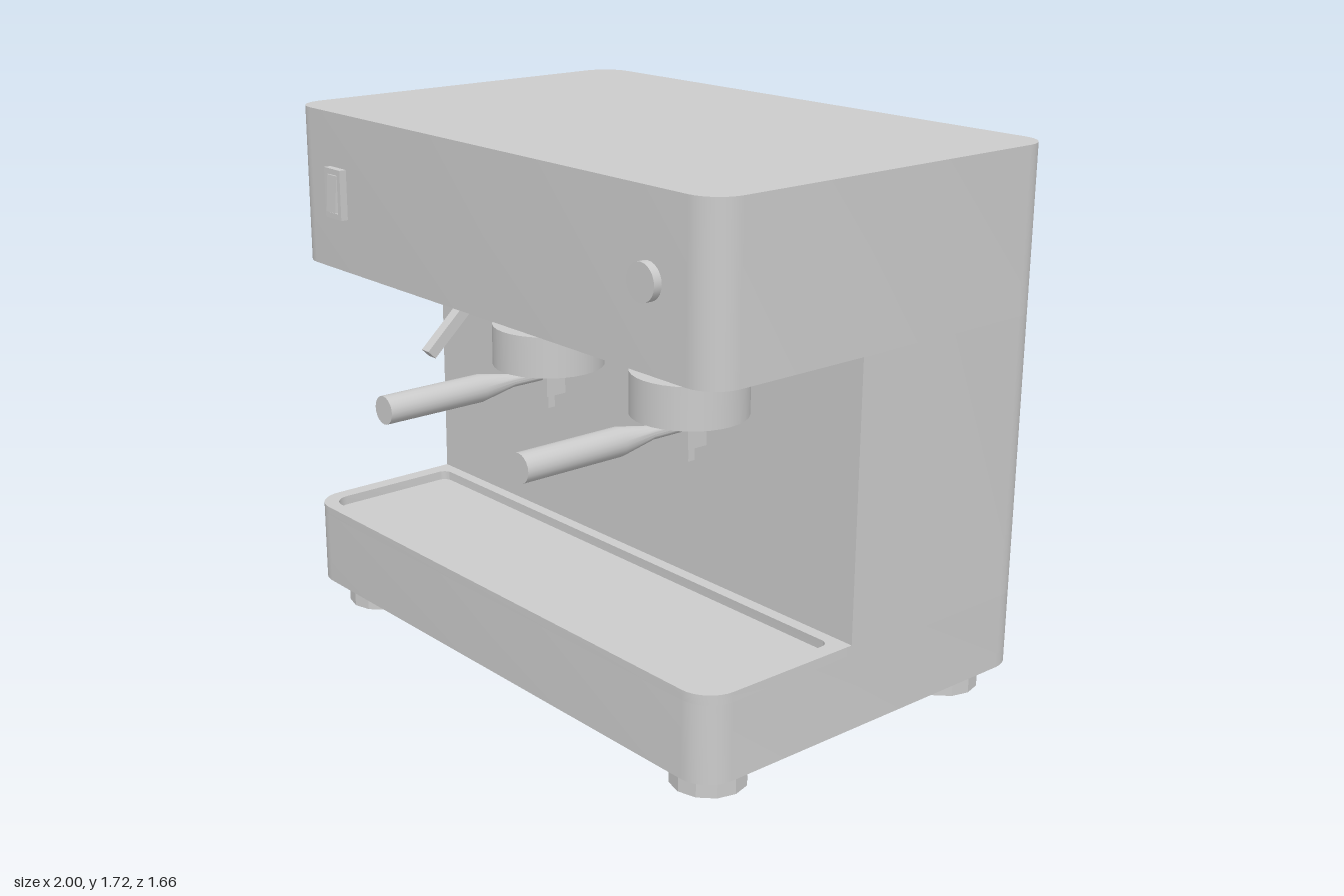
import * as THREE from 'three';
import { toCreasedNormals } from 'three/addons/utils/BufferGeometryUtils.js';

export function createModel() {
  const model = new THREE.Group();
  const grey = new THREE.MeshStandardMaterial({ color: 0xcccccc });

  const add = (name, geometry, x = 0, y = 0, z = 0, parent = model) => {
    const mesh = new THREE.Mesh(geometry, grey);
    mesh.name = name;
    mesh.position.set(x, y, z);
    parent.add(mesh);
    return mesh;
  };
  const box = (w, h, d) => new THREE.BoxGeometry(w, h, d);

  // Plan outline with separate corner radii at the front and back
  const outline = (halfWidth, back, front, rBack, rFront, type = THREE.Shape) => {
    const s = new type();
    const w = halfWidth, b = -back, f = -front;
    s.moveTo(-w + rFront, f);
    s.lineTo(w - rFront, f);
    if (rFront) s.absarc(w - rFront, f + rFront, rFront, -Math.PI / 2, 0);
    s.lineTo(w, b - rBack);
    if (rBack) s.absarc(w - rBack, b - rBack, rBack, 0, Math.PI / 2);
    s.lineTo(-w + rBack, b);
    if (rBack) s.absarc(-w + rBack, b - rBack, rBack, Math.PI / 2, Math.PI);
    s.lineTo(-w, f + rFront);
    if (rFront) s.absarc(-w + rFront, f + rFront, rFront, Math.PI, Math.PI * 1.5);
    return s;
  };
  const slab = (shape, y0, y1) => {
    const g = new THREE.ExtrudeGeometry(shape, { depth: y1 - y0, bevelEnabled: false, curveSegments: 4 });
    g.rotateX(-Math.PI / 2).translate(0, y0, 0);
    return toCreasedNormals(g, 0.6);
  };

  // C-shaped housing
  const BACK = -0.83, WALL = -0.07, FRONT = 0.49, R = 0.1;
  add('base', slab(outline(1, BACK, FRONT, R, R), 0.085, 0.325));
  const rim = outline(1, WALL, FRONT, 0, R);
  rim.holes.push(outline(0.95, -0.03, 0.445, 0.03, 0.06, THREE.Path));
  add('dripTrayRim', slab(rim, 0.325, 0.355));
  add('rearColumn', slab(outline(1, BACK, WALL, R, 0), 0.325, 1.21));
  add('upperHousing', slab(outline(1, BACK, FRONT, R, R), 1.21, 1.715));

  // Feet
  const footGeometry = toCreasedNormals(new THREE.CylinderGeometry(0.115, 0.115, 0.085, 12), 0.3);
  for (const x of [-0.835, 0.835])
    for (const z of [0.325, -0.665]) add('foot', footGeometry, x, 0.0425, z);

  // Brewing groups, each with a filter holder and handle
  const handleProfile = [[0, 0], [0.02, 0], [0.02, 0.14], [0.042, 0.26], [0.042, 0.595], [0, 0.595]]
    .map(([r, l]) => new THREE.Vector2(r, l));
  const handleGeometry = toCreasedNormals(
    new THREE.LatheGeometry(handleProfile, 20).rotateX(Math.PI / 2), 0.6);
  for (const x of [0, 0.635]) {
    const group = new THREE.Group();
    group.name = 'brewGroup';
    group.position.set(x, 0, 0.235);
    model.add(group);
    add('groupNeck', new THREE.CylinderGeometry(0.035, 0.035, 0.07, 16), 0, 1.18, 0, group);
    add('groupHead', new THREE.CylinderGeometry(0.17, 0.17, 0.125, 32), 0, 1.0875, 0, group);
    add('spoutBlock', box(0.07, 0.1, 0.07), 0, 0.98, 0, group);
    add('spout', box(0.024, 0.05, 0.024), 0, 0.91, 0, group);
    add('handle', handleGeometry, 0, 0.995, 0, group);
  }

  // Bent steam wand, drawn in the side plane
  const wand = new THREE.Shape([
    [-0.08, 1.056], [0.065, 1.02], [0.21, 0.887], [0.238, 0.914], [0.085, 1.055], [-0.08, 1.106],
  ].map(([z, y]) => new THREE.Vector2(z, y)));
  const wandGeometry = new THREE.ExtrudeGeometry(wand, { depth: 0.038, bevelEnabled: false });
  add('steamWand', wandGeometry.translate(0, 0, -0.019).rotateY(-Math.PI / 2), -0.662);

  // Power switch: frame with a tilted rocker
  const frame = new THREE.Shape([[-0.045, -0.08], [0.045, -0.08], [0.045, 0.08], [-0.045, 0.08]]
    .map(([x, y]) => new THREE.Vector2(x, y)));
  frame.holes.push(new THREE.Path([[-0.028, -0.062], [-0.028, 0.062], [0.028, 0.062], [0.028, -0.062]]
    .map(([x, y]) => new THREE.Vector2(x, y))));
  add('switchFrame', new THREE.ExtrudeGeometry(frame, { depth: 0.024, bevelEnabled: false }), -0.745, 1.462, FRONT);
  add('switchRocker', box(0.052, 0.118, 0.03), -0.745, 1.462, 0.504).rotation.x = -0.07;

  // Control knob
  add('knob', new THREE.CylinderGeometry(0.055, 0.055, 0.028, 24).rotateX(Math.PI / 2), 0.75, 1.464, 0.502);

  return model;
}
